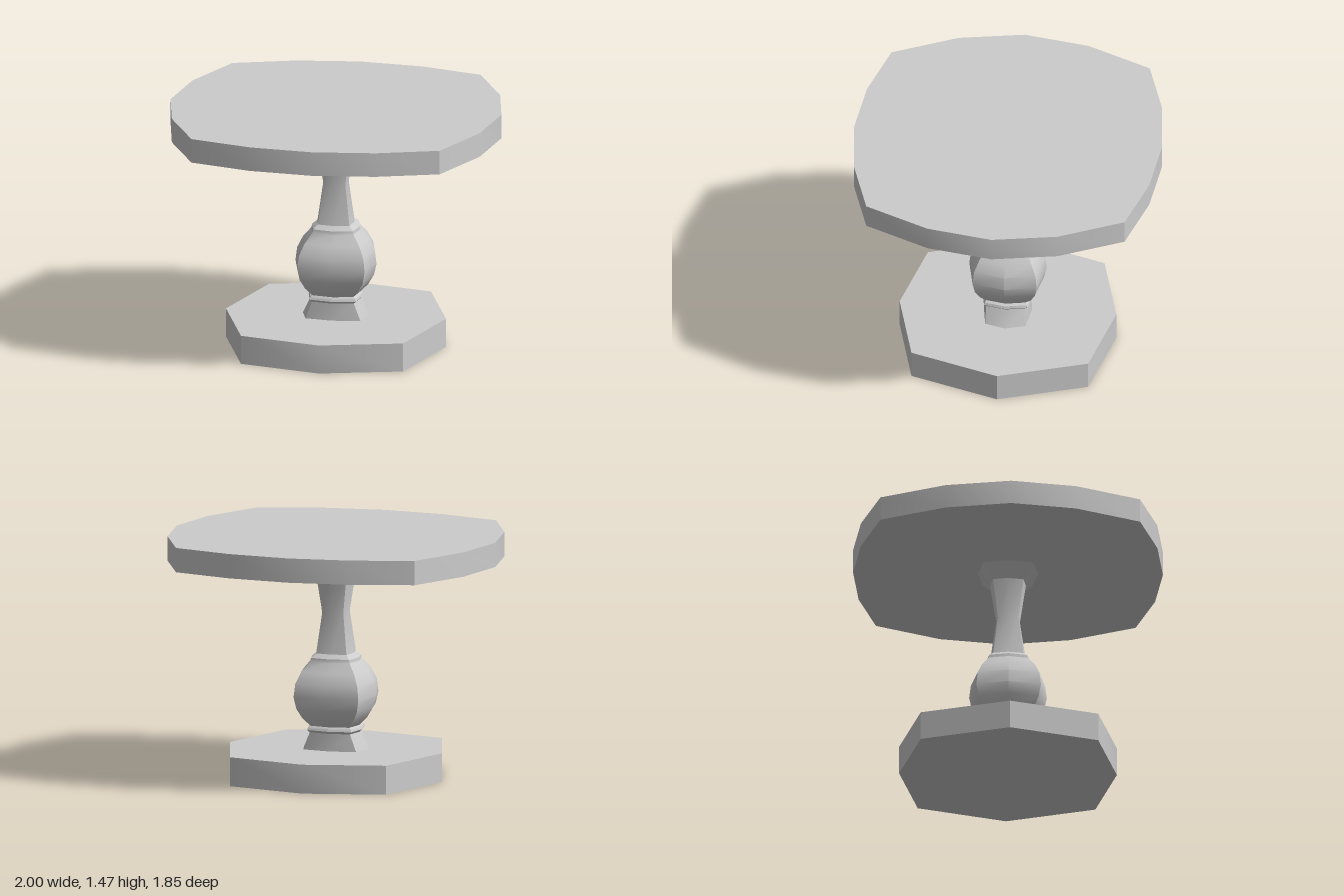
import * as THREE from 'three';
import { toCreasedNormals } from 'three/addons/utils/BufferGeometryUtils.js';

const CREASE = THREE.MathUtils.degToRad(30);

// Mirror a quarter outline, running from the +x axis to the +z axis, into a closed loop
function mirrorQuarter(q) {
  const half = [...q, ...q.slice(0, -1).reverse().map(([x, z]) => [-x, z])];
  return [...half, ...half.slice(1, -1).reverse().map(([x, z]) => [x, -z])];
}

// Flat slab with a many-sided outline
function slab(quarter, y, height) {
  const shape = new THREE.Shape(mirrorQuarter(quarter).map(([x, z]) => new THREE.Vector2(x, z)));
  const geo = new THREE.ExtrudeGeometry(shape, { depth: height, bevelEnabled: false });
  geo.rotateX(-Math.PI / 2).translate(0, y, 0);
  return toCreasedNormals(geo, CREASE);
}

// Skin a column through stacked eight-sided rings: [y, half width, half depth, corner ratio]
function column(rings) {
  const pos = [], index = [], n = 8;
  for (const [y, w, d, k] of rings) {
    for (const [x, z] of mirrorQuarter([[w, 0], [w * k, d * k], [0, d]])) pos.push(x, y, z);
  }
  for (let r = 0; r < rings.length - 1; r++) {
    for (let i = 0; i < n; i++) {
      const a = r * n + i, b = r * n + (i + 1) % n;
      index.push(a, a + n, b, b, a + n, b + n);
    }
  }
  const geo = new THREE.BufferGeometry();
  geo.setAttribute('position', new THREE.Float32BufferAttribute(pos, 3));
  geo.setIndex(index);
  return toCreasedNormals(geo, CREASE);
}

export function createModel() {
  const group = new THREE.Group();
  const material = new THREE.MeshStandardMaterial({ color: 0xcccccc });
  const add = (name, geo) => {
    const mesh = new THREE.Mesh(geo, material);
    mesh.name = name;
    group.add(mesh);
  };

  // Base and table top
  add('base', slab([[0.665, 0], [0.49, 0.53], [0, 0.65]], 0, 0.175));
  add('tableTop', slab([[1, 0], [0.93, 0.39], [0.75, 0.775], [0.38, 0.885], [0, 0.925]], 1.32, 0.147));

  // Turned pedestal: foot, ring, belly, lip, waisted neck and flare
  add('pedestal', column([
    [0.175, 0.2, 0.145, 0.83],
    [0.28, 0.15, 0.14, 0.84],
    [0.295, 0.165, 0.155, 0.84],
    [0.31, 0.16, 0.15, 0.84],
    [0.32, 0.145, 0.14, 0.84],
    [0.37, 0.195, 0.185, 0.83],
    [0.43, 0.23, 0.217, 0.83],
    [0.5, 0.245, 0.232, 0.83],
    [0.58, 0.235, 0.222, 0.83],
    [0.65, 0.2, 0.188, 0.83],
    [0.71, 0.148, 0.14, 0.83],
    [0.73, 0.145, 0.137, 0.83],
    [0.755, 0.112, 0.106, 0.85],
    [1.0, 0.076, 0.071, 0.87],
    [1.24, 0.113, 0.107, 0.85],
    [1.32, 0.19, 0.18, 0.83],
  ]));

  return group;
}
